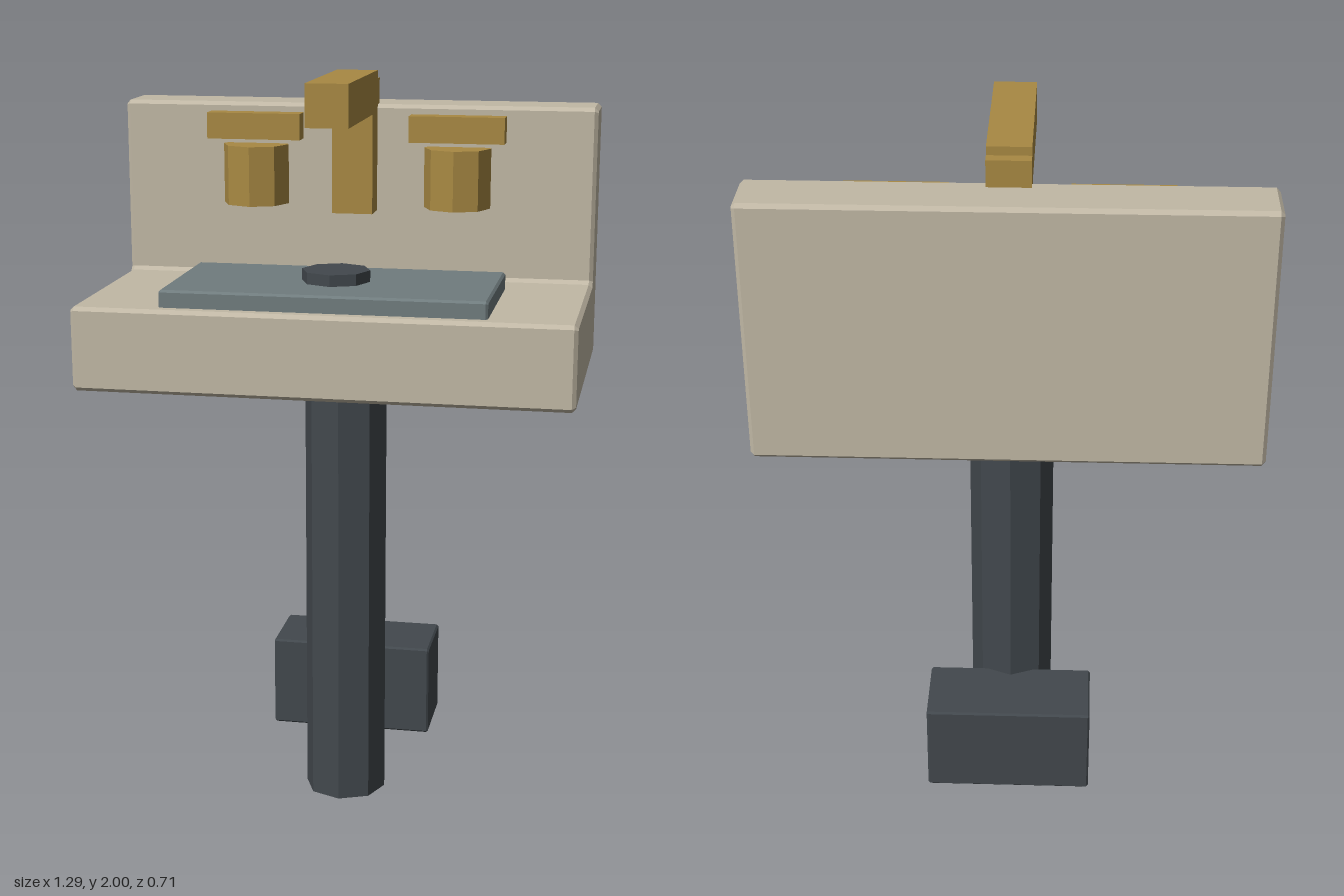
import * as THREE from 'three';

const flat = (name, color) => {
  const m = new THREE.MeshStandardMaterial({ color, flatShading: true });
  m.name = name;
  return m;
};

export function createModel() {
  const group = new THREE.Group();
  const stone = flat('stone', 0xc1b8a5);
  const slate = flat('slate', 0x707c7e);
  const iron = flat('iron', 0x42484d);
  const brass = flat('brass', 0xa88943);

  const add = (name, geometry, material) => {
    const mesh = new THREE.Mesh(geometry, material);
    mesh.name = name;
    group.add(mesh);
  };

  // Plain box given by its limits on each axis
  const block = (name, [x0, x1], [y0, y1], [z0, z1], material) =>
    add(name, new THREE.BoxGeometry(x1 - x0, y1 - y0, z1 - z0)
      .translate((x0 + x1) / 2, (y0 + y1) / 2, (z0 + z1) / 2), material);

  // Eight-sided upright post
  const post = (name, radius, x, [y0, y1], z, material) =>
    add(name, new THREE.CylinderGeometry(radius, radius, y1 - y0, 8)
      .translate(x, (y0 + y1) / 2, z), material);

  // Side outline of [z, y] corners, chamfered and extruded across x
  const chamfered = (name, halfWidth, corners, bevel, material) => {
    const n = corners.length;
    const points = [];
    corners.forEach(([z, y], i) => {
      const here = new THREE.Vector2(-z, y);
      for (const [a, b] of [corners[(i + n - 1) % n], corners[(i + 1) % n]]) {
        const dir = new THREE.Vector2(-a, b).sub(here).normalize();
        points.push(here.clone().addScaledVector(dir, bevel));
      }
    });
    const depth = 2 * (halfWidth - bevel);
    const geometry = new THREE.ExtrudeGeometry(new THREE.Shape(points), {
      depth, bevelEnabled: true, bevelSegments: 1,
      bevelSize: bevel, bevelThickness: bevel, bevelOffset: -bevel,
    });
    geometry.translate(0, 0, -depth / 2).rotateY(Math.PI / 2);
    add(name, geometry, material);
  };
  const rect = (y0, y1, z0, z1) => [[z0, y0], [z0, y1], [z1, y1], [z1, y0]];

  // Basin slab and backsplash as one L-shaped body
  chamfered('basinBody', 0.645, [
    [-0.355, 1.22], [-0.355, 1.91], [-0.198, 1.91],
    [-0.198, 1.44], [0.355, 1.44], [0.355, 1.22],
  ], 0.01, stone);

  // Bowl panel and drain
  chamfered('bowlPanel', 0.42, rect(1.4, 1.485, -0.095, 0.32), 0.006, slate);
  post('drain', 0.09, 0, [1.45, 1.515], 0.11, iron);

  // Pedestal and the box behind it
  post('pedestal', 0.112, 0, [0, 1.24], -0.03, iron);
  chamfered('rearBox', 0.224, rect(0.135, 0.39, -0.32, -0.11), 0.005, iron);

  // Tap: riser and spout
  block('tapRiser', [-0.055, 0.055], [1.625, 1.978], [-0.232, -0.12], brass);
  block('tapSpout', [-0.055, 0.055], [1.89, 2], [-0.2, 0.235], brass);

  // Pair of handles
  for (const side of [-1, 1]) {
    const x = side * 0.276;
    post('handleStem', 0.09, x, [1.64, 1.8], -0.18, brass);
    block('handleBar', [x - 0.128, x + 0.128], [1.815, 1.885], [-0.215, -0.145], brass);
  }

  return group;
}
